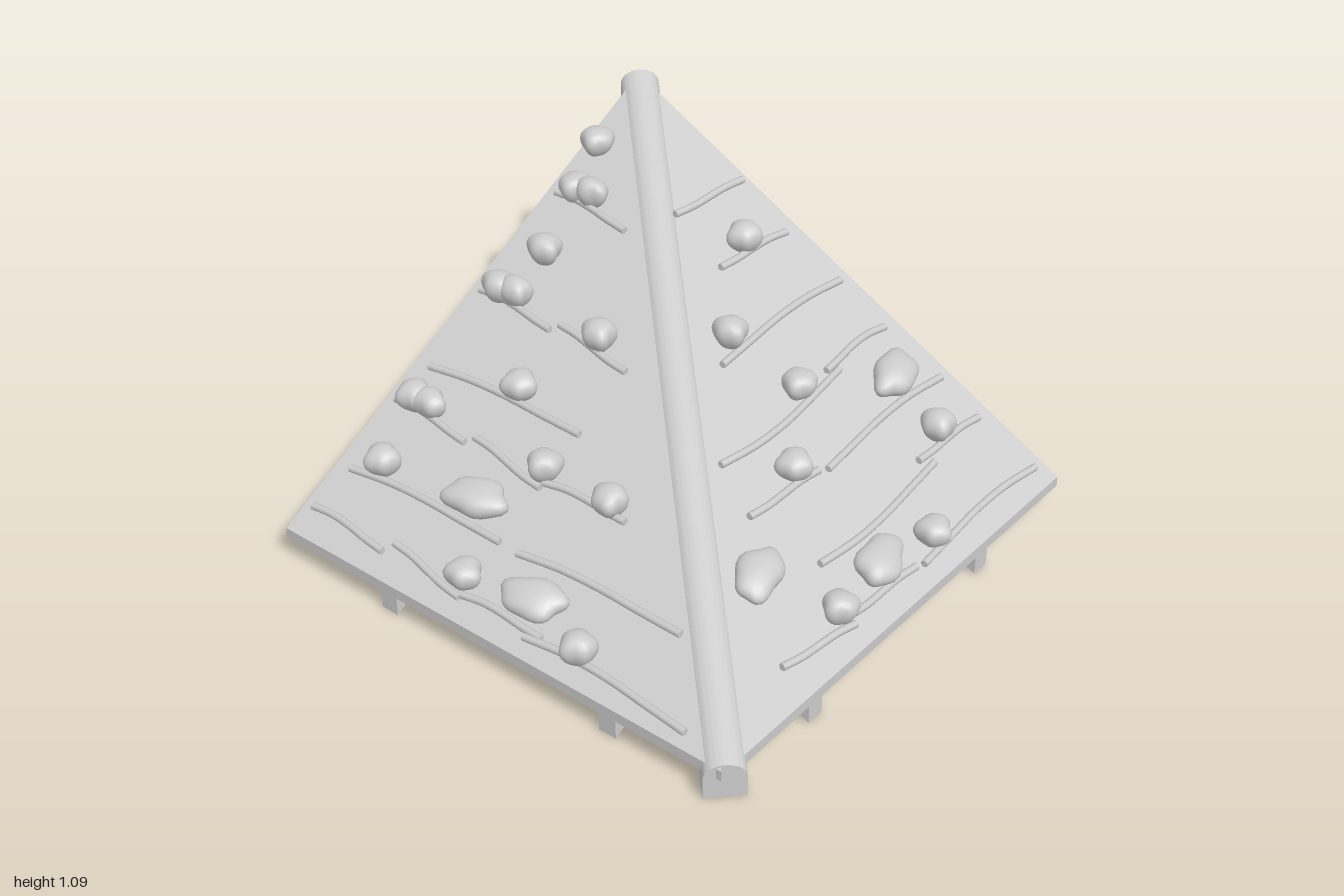
import * as THREE from 'three';
import { mergeVertices, toCreasedNormals } from 'three/addons/utils/BufferGeometryUtils.js';

const SLOPE = 0.505;
// Height of each slope's underside above a plan position
const frontLift = (x, z) => 0.08 + SLOPE * (0.96 - z);
const sideLift = (x, z) => 0.08 + SLOPE * (x + 0.97);
const ridgeLift = (x, z) => SLOPE * (0.95 + (x - z) / 2);

export function createModel() {
  const group = new THREE.Group();
  const material = new THREE.MeshStandardMaterial({ color: 0xcccccc });

  function add(name, geometry) {
    const mesh = new THREE.Mesh(geometry, material);
    mesh.name = name;
    group.add(mesh);
    return mesh;
  }

  // Shear a geometry upward so that it follows a slope
  function shear(geometry, lift) {
    const p = geometry.attributes.position;
    for (let i = 0; i < p.count; i++) {
      p.setY(i, p.getY(i) + lift(p.getX(i), p.getZ(i)));
    }
    geometry.computeVertexNormals();
    return geometry;
  }

  // Triangular roof panels, outlined in plan
  function panel(name, corners, lift) {
    const shape = new THREE.Shape(corners.map(([x, z]) => new THREE.Vector2(x, -z)));
    const geo = new THREE.ExtrudeGeometry(shape, { depth: 0.04, bevelEnabled: false });
    geo.rotateX(-Math.PI / 2);
    add(name, shear(geo, lift));
  }
  panel('frontPanel', [[-0.94, 0.96], [0.94, 0.96], [0.94, -0.92]], frontLift);
  panel('sidePanel', [[-0.97, 0.95], [0.92, -0.945], [-0.97, -0.945]], sideLift);

  // Hip beam and its rounded cap, swept along the diagonal
  function hip(name, shape) {
    const geo = new THREE.ExtrudeGeometry(shape, {
      depth: 1.9 * Math.SQRT2, bevelEnabled: false, curveSegments: 14,
    });
    geo.rotateY(Math.PI * 0.75).translate(-0.95, 0, 0.95);
    add(name, toCreasedNormals(shear(geo, ridgeLift), 0.6));
  }
  const beam = new THREE.Shape();
  beam.moveTo(-0.07, 0).lineTo(0.07, 0).lineTo(0.07, 0.08).lineTo(-0.07, 0.08);
  hip('hipBeam', beam);
  const cap = new THREE.Shape();
  cap.moveTo(0.07, 0.08);
  cap.absellipse(0, 0.08, 0.07, 0.053, 0, Math.PI, false);
  hip('hipCap', cap);

  // Rafters below each panel, running from the eave to the hip beam
  for (const c of [-0.49, 0.465]) {
    const end = -c + 0.065;
    const front = new THREE.BoxGeometry(0.07, 0.08, 0.955 - end);
    front.translate(c, -0.04, (0.955 + end) / 2);
    add('frontRafter', shear(front, frontLift));
    const side = new THREE.BoxGeometry(0.965 - end, 0.08, 0.07);
    side.translate(-(0.965 + end) / 2, -0.04, -c);
    add('sideRafter', shear(side, sideLift));
  }

  // Sticks: [x0, z0, x1, z1, sideways bend]
  const frontSticks = [
    [0.54, -0.45, 0.9, -0.425, 0], [0.51, -0.22, 0.865, -0.195, -0.005],
    [0.19, 0.04, 0.88, 0.04, -0.02], [-0.13, 0.285, 0.56, 0.27, 0.025],
    [0.51, 0.25, 0.865, 0.25, -0.015], [-0.2, 0.46, 0.16, 0.48, 0],
    [0.19, 0.495, 0.88, 0.49, -0.02], [-0.13, 0.7, 0.56, 0.685, 0.02],
    [0.51, 0.65, 0.865, 0.665, -0.005], [-0.54, 0.855, -0.2, 0.9, 0],
    [-0.2, 0.87, 0.16, 0.89, 0], [0.19, 0.9, 0.88, 0.9, -0.02],
  ];
  const sideSticks = [
    [-0.88, -0.9, -0.9, -0.55, 0.01], [-0.72, -0.87, -0.705, -0.19, 0.015],
    [-0.455, -0.9, -0.48, -0.55, 0.01], [-0.31, -0.87, -0.295, -0.19, 0.015],
    [-0.005, -0.9, -0.03, -0.55, 0.01], [0.41, -0.9, 0.38, -0.55, 0.01],
    [-0.86, -0.53, -0.91, -0.19, 0], [-0.45, -0.53, -0.5, -0.19, 0],
    [0, -0.53, -0.05, -0.19, 0], [-0.9, -0.19, -0.9, 0.16, 0.01],
    [-0.48, -0.19, -0.475, 0.16, 0.01], [-0.71, -0.11, -0.695, 0.57, 0.015],
    [-0.92, 0.1, -0.935, 0.78, 0.02],
  ];
  function stick(name, [x0, z0, x1, z1, bend], lift, alongX) {
    const points = [];
    for (let i = 0; i <= 4; i++) {
      const t = i / 4;
      const off = bend * Math.sin(Math.PI * t) + 0.004 * Math.sin(Math.PI * 2 * t);
      const x = x0 + (x1 - x0) * t + (alongX ? 0 : off);
      const z = z0 + (z1 - z0) * t + (alongX ? off : 0);
      points.push(new THREE.Vector3(x, lift(x, z) + 0.06, z));
    }
    const curve = new THREE.CatmullRomCurve3(points);
    add(name, new THREE.TubeGeometry(curve, 12, 0.0135, 8));
    // Closed ends
    for (const t of [0, 1]) {
      const disc = new THREE.CircleGeometry(0.0135, 8);
      const mesh = add(name + 'End', disc);
      const dir = curve.getTangent(t).multiplyScalar(t ? 1 : -1);
      mesh.position.copy(curve.getPoint(t));
      mesh.quaternion.setFromUnitVectors(new THREE.Vector3(0, 0, 1), dir);
    }
  }
  frontSticks.forEach((s) => stick('frontStick', s, frontLift, true));
  sideSticks.forEach((s) => stick('sideStick', s, sideLift, false));

  // Rounded stone: a sphere pulled into broad facets, narrower at its foot
  function stone(seed) {
    let geo = new THREE.IcosahedronGeometry(1, 4);
    geo.deleteAttribute('normal');
    geo.deleteAttribute('uv');
    geo = mergeVertices(geo);
    const p = geo.attributes.position;
    const v = new THREE.Vector3();
    for (let i = 0; i < p.count; i++) {
      v.fromBufferAttribute(p, i);
      const a = Math.atan2(v.z, v.x);
      const flat = Math.hypot(v.x, v.z);
      const k = 1 + flat * (0.07 * Math.cos(5 * a + seed) + 0.07 * Math.cos(3 * a + seed * 2.3));
      const w = k * (1 + 0.18 * v.y);
      p.setXYZ(i, v.x * w, v.y * (1 + 0.08 * Math.sin(2 * v.x + seed)), v.z * w);
    }
    geo.computeVertexNormals();
    return geo;
  }

  // Stones: [x, z, x radius, z radius, turn]; small ones use the defaults
  const frontStones = [
    [0.67, -0.24], [0.3, -0.01], [0.35, 0.25], [0.07, 0.44], [0.67, 0.62],
    [-0.22, 0.85], [0.3, 0.86],
    [-0.36, 0.62, 0.115, 0.075, 0.3], [0.71, 0.4, 0.115, 0.075, 0.3],
    [0.05, 0.815, 0.115, 0.075, 0.3],
  ];
  const sideStones = [
    [-0.67, -0.76], [0.19, -0.76], [0.61, -0.87], [-0.26, -0.49], [0, -0.35],
    [-0.45, -0.21], [-0.86, -0.21], [-0.46, 0.08], [-0.89, 0.31],
    [-0.63, -0.36, 0.075, 0.115, 0.3], [-0.82, 0.06, 0.075, 0.115, 0.3],
    [-0.44, -0.82], [0.01, -0.82], [0.43, -0.82],
    [-0.44, -0.75, 0.05, 0.065], [0.015, -0.75, 0.05, 0.065], [0.435, -0.75, 0.05, 0.065],
  ];
  function placeStones(name, list, lift, tiltX, tiltZ) {
    list.forEach(([x, z, rx = 0.061, rz = 0.061, turn = 0], i) => {
      const mesh = add(name, stone(1 + i * 1.7));
      const big = Math.max(rx, rz) > 0.1;
      mesh.scale.set(rx, 0.058, rz);
      mesh.position.set(x, lift(x, z) + (big ? 0.075 : 0.09), z);
      mesh.rotation.set(big ? tiltX : 0, turn, big ? tiltZ : 0);
    });
  }
  placeStones('frontStone', frontStones, frontLift, 0.3, 0);
  placeStones('sideStone', sideStones, sideLift, 0, 0.3);

  return group;
}
